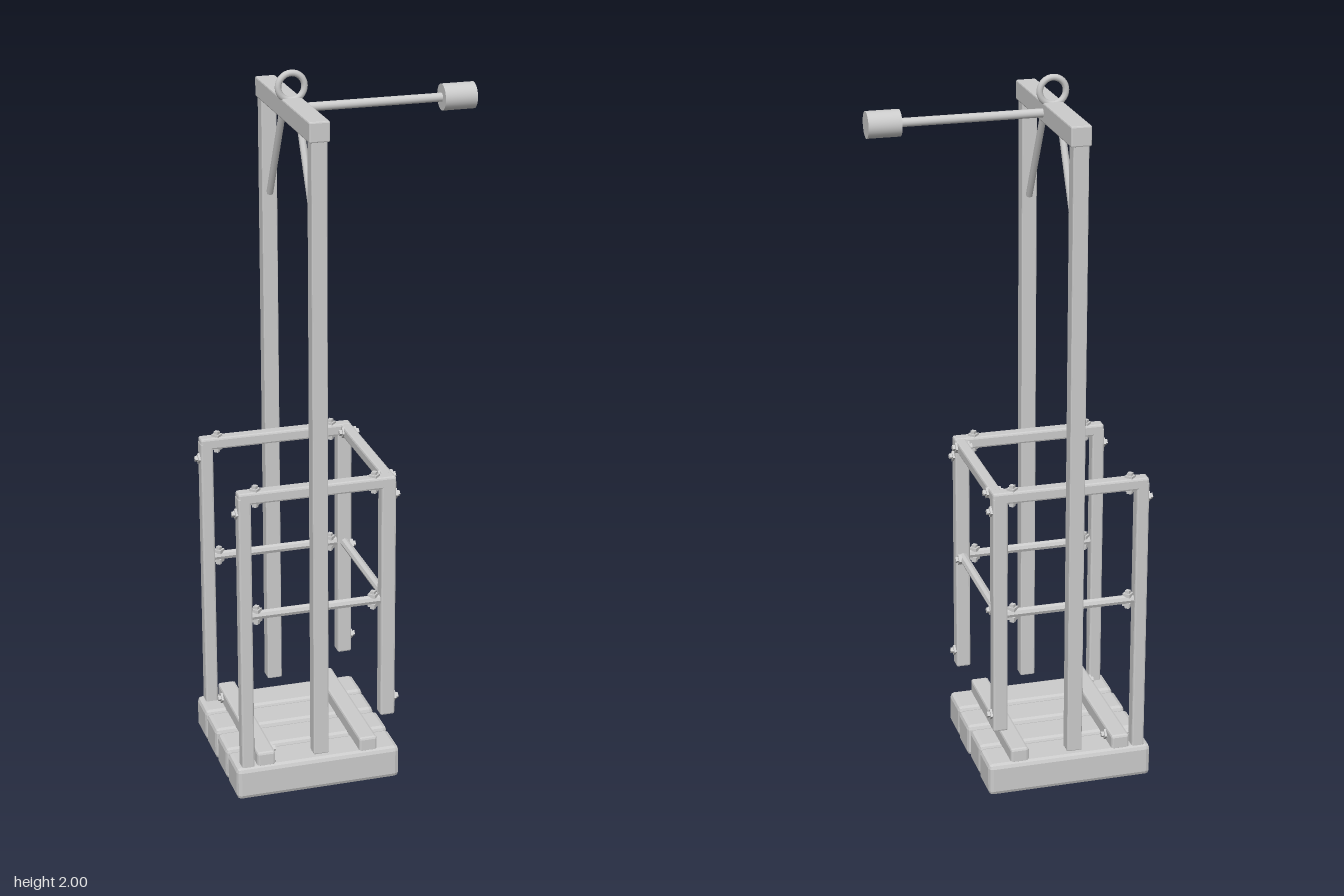
import * as THREE from 'three';
import { RoundedBoxGeometry } from 'three/addons/geometries/RoundedBoxGeometry.js';

export function createModel() {
  const model = new THREE.Group();
  const flat = new THREE.MeshStandardMaterial({ color: 0xcccccc, flatShading: true });
  const smooth = new THREE.MeshStandardMaterial({ color: 0xcccccc });

  function add(name, geometry, material = flat) {
    const mesh = new THREE.Mesh(geometry, material);
    mesh.name = name;
    model.add(mesh);
    return mesh;
  }

  // Chamfered timber given by its limits on each axis
  function beam(name, [x0, x1], [y0, y1], [z0, z1], chamfer = 0.004) {
    const mesh = add(name, new RoundedBoxGeometry(x1 - x0, y1 - y0, z1 - z0, 1, chamfer));
    mesh.position.set((x0 + x1) / 2, (y0 + y1) / 2, (z0 + z1) / 2);
    return mesh;
  }

  // Round or faceted bar between two points
  function rod(name, from, to, radius, sides = 12, material = smooth) {
    const a = new THREE.Vector3(...from), b = new THREE.Vector3(...to);
    const dir = b.clone().sub(a);
    const mesh = add(name, new THREE.CylinderGeometry(radius, radius, dir.length(), sides), material);
    mesh.position.copy(a).add(b).multiplyScalar(0.5);
    mesh.quaternion.setFromUnitVectors(new THREE.Vector3(0, 1, 0), dir.normalize());
    return mesh;
  }

  // Bolt with a washer and a smaller head, pointing along the given direction
  function bolt(x, y, z, dx, dy, dz) {
    const at = (t) => [x + dx * t, y + dy * t, z + dz * t];
    rod('boltWasher', at(-0.004), at(0.006), 0.016, 4, flat);
    rod('boltHead', at(0.004), at(0.014), 0.009, 4, flat);
  }

  // Base planks
  const planks = [[-0.235, -0.123], [-0.118, -0.007], [0.004, 0.113], [0.121, 0.235]];
  planks.forEach((z, i) => beam('plank', [-0.37, 0.105 - (i % 2) * 0.003], [0, 0.096], z, 0.013));

  // Cleats across the planks
  for (const x of [-0.283, 0.013]) {
    beam('cleat', [x - 0.026, x + 0.026], [0.088, 0.134], [-0.225, 0.225], 0.007);
  }
  for (const s of [-1, 1]) {
    bolt(-0.257, 0.112, s * 0.167, 1, 0, 0);
    bolt(-0.309, 0.112, s * 0.167, -1, 0, 0);
  }

  // Hoisting frame
  beam('topBeam', [-0.163, -0.107], [1.87, 1.925], [-0.263, 0.263], 0.004);
  for (const s of [-1, 1]) {
    const upright = beam('tallUpright', [-0.157, -0.114], [0.125, 1.875], [0.221, 0.261], 0.003);
    upright.position.z *= s;
    rod('diagonalBrace', [-0.135, 1.875, s * 0.083], [-0.135, 1.607, s * 0.224], 0.010, 8);
  }

  // Lifting eye
  const eye = add('liftingEye', new THREE.TorusGeometry(0.036, 0.009, 10, 32), smooth);
  eye.position.set(-0.135, 1.955, 0);

  // Arm with counterweight
  rod('arm', [-0.115, 1.897, 0], [0.285, 1.897, 0], 0.012, 16);
  rod('counterweight', [0.28, 1.897, 0], [0.37, 1.897, 0], 0.036, 32);

  // Guard cage sides: posts, top rail and middle rail
  for (const s of [-1, 1]) {
    const z = s * 0.206;
    const zs = [z - 0.019, z + 0.019];
    beam('rearPost', [-0.353, -0.317], [0.085, 0.905], zs, 0.005);
    beam('frontPost', [0.048, 0.09], [0.197, 0.905], zs, 0.005);
    beam('sideTopRail', [-0.352, 0.09], [0.883, 0.917], zs, 0.006);
    rod('sideMiddleRail', [-0.325, 0.55, z], [0.055, 0.55, z], 0.013, 8, flat);

    // Fixings on the top rail and posts
    bolt(-0.302, 0.917, z, 0, 1, 0);
    bolt(0.032, 0.917, z, 0, 1, 0);
    bolt(-0.302, 0.883, z, 0, -1, 0);
    bolt(0.032, 0.883, z, 0, -1, 0);
    bolt(-0.353, 0.855, z, -1, 0, 0);
    for (const y of [0.86, 0.245]) bolt(0.09, y, z, 1, 0, 0);
    for (const x of [-0.302, 0.03]) {
      bolt(x, 0.563, z, 0, 1, 0);
      bolt(x, 0.537, z, 0, -1, 0);
    }

    // Fixings on the end rails
    bolt(0.09, 0.9, s * 0.168, 1, 0, 0);
    bolt(0.06, 0.9, s * 0.168, -1, 0, 0);
    bolt(0.082, 0.55, s * 0.172, 1, 0, 0);
  }

  // Guard cage end rails
  beam('endTopRail', [0.058, 0.09], [0.884, 0.916], [-0.225, 0.225], 0.006);
  rod('endMiddleRail', [0.069, 0.55, -0.2], [0.069, 0.55, 0.2], 0.013, 8, flat);

  return model;
}
